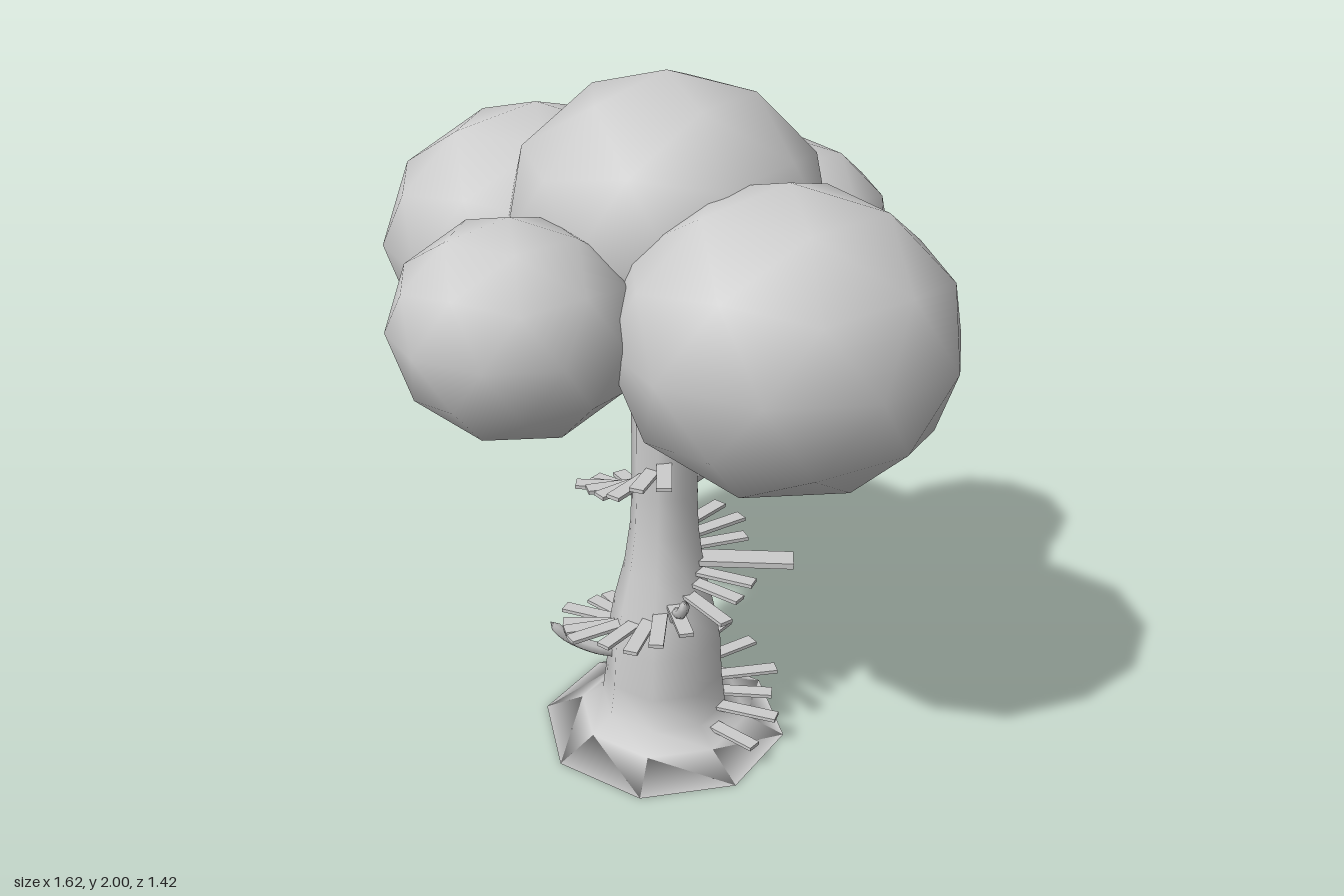
import * as THREE from 'three';

const grey = new THREE.MeshStandardMaterial({ color: 0xcccccc });
grey.name = 'plain grey';

const AXIS = { x: 0.03, z: 0.015 };

// Trunk profile: radius, height
const PROFILE = [
  [0, 0], [0.37, 0], [0.255, 0.055], [0.19, 0.1], [0.177, 0.2], [0.17, 0.33],
  [0.15, 0.44], [0.118, 0.57], [0.1, 0.7], [0.095, 0.82], [0.095, 1.35],
];

function trunkRadius(y) {
  for (let i = 2; i < PROFILE.length; i++) {
    const [r0, y0] = PROFILE[i - 1], [r1, y1] = PROFILE[i];
    if (y <= y1) return THREE.MathUtils.mapLinear(y, y0, y1, r0, r1);
  }
  return 0.095;
}

function addMesh(parent, name, geometry) {
  const mesh = new THREE.Mesh(geometry, grey);
  mesh.name = name;
  parent.add(mesh);
  return mesh;
}

// Low-poly ball with a corner pointing straight up
function ballGeometry() {
  const g = new THREE.IcosahedronGeometry(1, 1);
  g.rotateZ(-Math.atan(2 / (1 + Math.sqrt(5))));
  return g;
}

// Tapered bare branch along a bent path, closed at the tip
function branchGeometry(points, radius) {
  const path = new THREE.CatmullRomCurve3(points.map(p => new THREE.Vector3(...p)));
  const n = 10, sides = 6;
  const g = new THREE.TubeGeometry(path, n, radius, sides);
  const pos = g.attributes.position, v = new THREE.Vector3();
  for (let i = 0; i <= n; i++) {
    const end = i === n;
    const centre = path.getPointAt(i / n);
    const scale = end ? 0 : 1 - 0.4 * i / n;
    for (let j = 0; j <= sides; j++) {
      const k = i * (sides + 1) + j;
      v.fromBufferAttribute(pos, k).sub(centre).multiplyScalar(scale).add(centre);
      pos.setXYZ(k, v.x, v.y, v.z);
    }
  }
  g.computeVertexNormals();
  return g;
}

export function createModel() {
  const tree = new THREE.Group();
  tree.name = 'tree';

  // Flared eight-sided trunk
  const profile = PROFILE.map(([r, y]) => new THREE.Vector2(r, y));
  addMesh(tree, 'trunk', new THREE.LatheGeometry(profile, 8)).position.set(AXIS.x, 0, AXIS.z);

  // Foliage: centre, radii, turn about the vertical
  const foliage = new THREE.Group();
  foliage.name = 'foliage';
  tree.add(foliage);
  const ball = ballGeometry();
  [
    ['crownTop', [0.03, 1.605, 0], [0.435, 0.395, 0.4], 0.25],
    ['crownFrontLeft', [0.38, 1.42, 0.305], [0.45, 0.4, 0.405], 0],
    ['crownBackRight', [-0.38, 1.44, -0.245], [0.45, 0.4, 0.405], 0],
    ['crownFrontRight', [-0.275, 1.442, 0.41], [0.32, 0.287, 0.28], 0],
    ['crownBackLeft', [0.275, 1.442, -0.433], [0.33, 0.287, 0.278], 0],
  ].forEach(([name, centre, radii, turn]) => {
    const mesh = addMesh(foliage, name, ball);
    mesh.position.set(...centre);
    mesh.scale.set(...radii);
    mesh.rotation.y = turn;
  });

  // Bare branches
  [
    ['lowBranch', [[-0.09, 0.265, 0.05], [-0.16, 0.295, 0.09], [-0.24, 0.345, 0.12], [-0.285, 0.405, 0.14]]],
    ['frontBranch', [[0.07, 0.43, 0.1], [0.1, 0.5, 0.17], [0.12, 0.54, 0.22], [0.135, 0.595, 0.25]]],
    ['highBranch', [[0.09, 0.83, -0.02], [0.15, 0.87, -0.035], [0.235, 0.915, -0.055], [0.285, 0.975, -0.073]]],
  ].forEach(([name, points]) => addMesh(tree, name, branchGeometry(points, 0.023)));

  // Plank steps winding up the trunk, with two longer landings
  const steps = new THREE.Group();
  steps.name = 'spiralSteps';
  steps.position.set(AXIS.x, 0, AXIS.z);
  tree.add(steps);
  const count = 38;
  for (let i = 0; i < count; i++) {
    const t = i / (count - 1);
    const y = 0.08 + 0.855 * t;
    const landing = i === 7 || i === 22;
    const inner = trunkRadius(y) - 0.02;
    const outer = landing ? 0.375 : 0.35 - 0.13 * t + 0.015 * Math.sin(i * 2.4);
    const plank = new THREE.BoxGeometry(outer - inner, landing ? 0.018 : 0.011, landing ? 0.07 : 0.042);
    plank.translate((inner + outer) / 2, 0, 0);
    const mesh = addMesh(steps, 'step', plank);
    mesh.position.y = y;
    mesh.rotation.y = THREE.MathUtils.degToRad(-30 + 670 * t + 3 * Math.sin(i * 1.7));
  }

  return tree;
}
